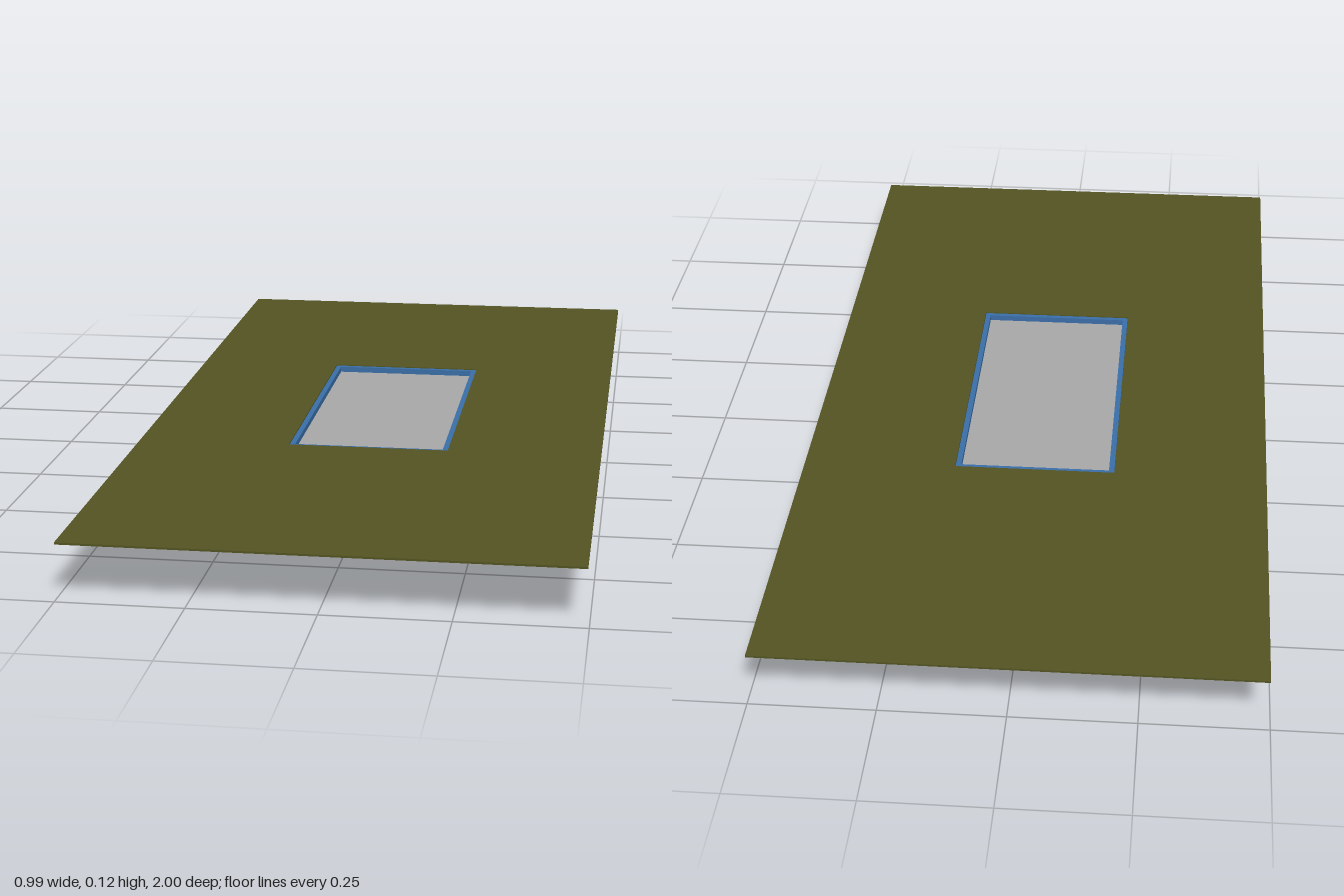
import * as THREE from 'three';

const mat = (name, color, side = THREE.FrontSide) => {
  const m = new THREE.MeshStandardMaterial({ color, side });
  m.name = name;
  return m;
};

export function createModel() {
  const model = new THREE.Group();
  model.name = 'pool';
  const grass = mat('olive grass', 0x535322);
  const blue = mat('pool blue', 0x3a6ea8);
  const paleBlue = mat('pale blue', 0x9fb6c4);
  const sand = mat('sand brown', 0x9a7d3a);
  const dark = mat('charcoal', 0x2e3032);
  const grey = mat('pale grey', 0xa8a8a8);

  const add = (name, geometry, material, x = 0, y = 0, z = 0) => {
    const mesh = new THREE.Mesh(geometry, material);
    mesh.name = name;
    mesh.position.set(x, y, z);
    model.add(mesh);
    return mesh;
  };
  // Box between two heights, centred on the vertical axis
  const slab = (name, hx, hz, y0, y1, material) =>
    add(name, new THREE.BoxGeometry(hx * 2, y1 - y0, hz * 2), material, 0, (y0 + y1) / 2);
  const rect = (Type, hx, hz) => new Type([[-hx, -hz], [hx, -hz], [hx, hz], [-hx, hz]]
    .map(([x, y]) => new THREE.Vector2(x, y)));
  // Rectangular frame lying flat, from y0 to y1
  const frame = (name, hx, hz, ix, iz, y0, y1, material) => {
    const shape = rect(THREE.Shape, hx, hz);
    shape.holes.push(rect(THREE.Path, ix, iz));
    const g = new THREE.ExtrudeGeometry(shape, { depth: y1 - y0, bevelEnabled: false });
    g.rotateX(-Math.PI / 2);
    return add(name, g, material, 0, y0);
  };

  // Lawn with an opening for the basin
  frame('lawn', 0.495, 1, 0.171, 0.333, 0.1145, 0.1185, grass);

  // Basin: base, pale band, blue rim and inner floor
  frame('baseEdge', 0.17, 0.335, 0.163, 0.328, 0, 0.003, blue);
  slab('baseFloor', 0.163, 0.328, 0, 0.003, sand);
  slab('baseBand', 0.17, 0.335, 0.003, 0.028, sand);
  slab('lowerWalls', 0.17, 0.335, 0.028, 0.07, paleBlue);
  frame('rim', 0.1705, 0.333, 0.159, 0.322, 0.07, 0.1165, blue);
  slab('poolSurface', 0.159, 0.322, 0.07, 0.104, grey);

  // U-shaped surround, open at the back, with small bevels
  const b = 0.006;
  const u = new THREE.Shape([
    [-0.25 + b, -0.41 + b], [0.25 - b, -0.41 + b], [0.25 - b, 0.35 - b], [0.17 + b, 0.35 - b],
    [0.17 + b, -0.335 - b], [-0.17 - b, -0.335 - b], [-0.17 - b, 0.35 - b], [-0.25 + b, 0.35 - b],
  ].map(([x, y]) => new THREE.Vector2(x, y)));
  const surround = new THREE.ExtrudeGeometry(u, {
    depth: 0.045 - 2 * b, bevelEnabled: true, bevelSize: b, bevelThickness: b, bevelSegments: 1,
  });
  surround.rotateX(-Math.PI / 2);
  add('surround', surround, dark, 0, 0.065 + b);

  // Three round ports on the back wall
  for (const x of [-0.105, 0, 0.105]) {
    add('portRing', new THREE.TorusGeometry(0.017, 0.004, 8, 24), sand, x, 0.045, -0.335);
    const cap = add('portCentre', new THREE.CylinderGeometry(0.008, 0.008, 0.006, 20), sand, x, 0.045, -0.336);
    cap.rotation.x = Math.PI / 2;
  }
  return model;
}
